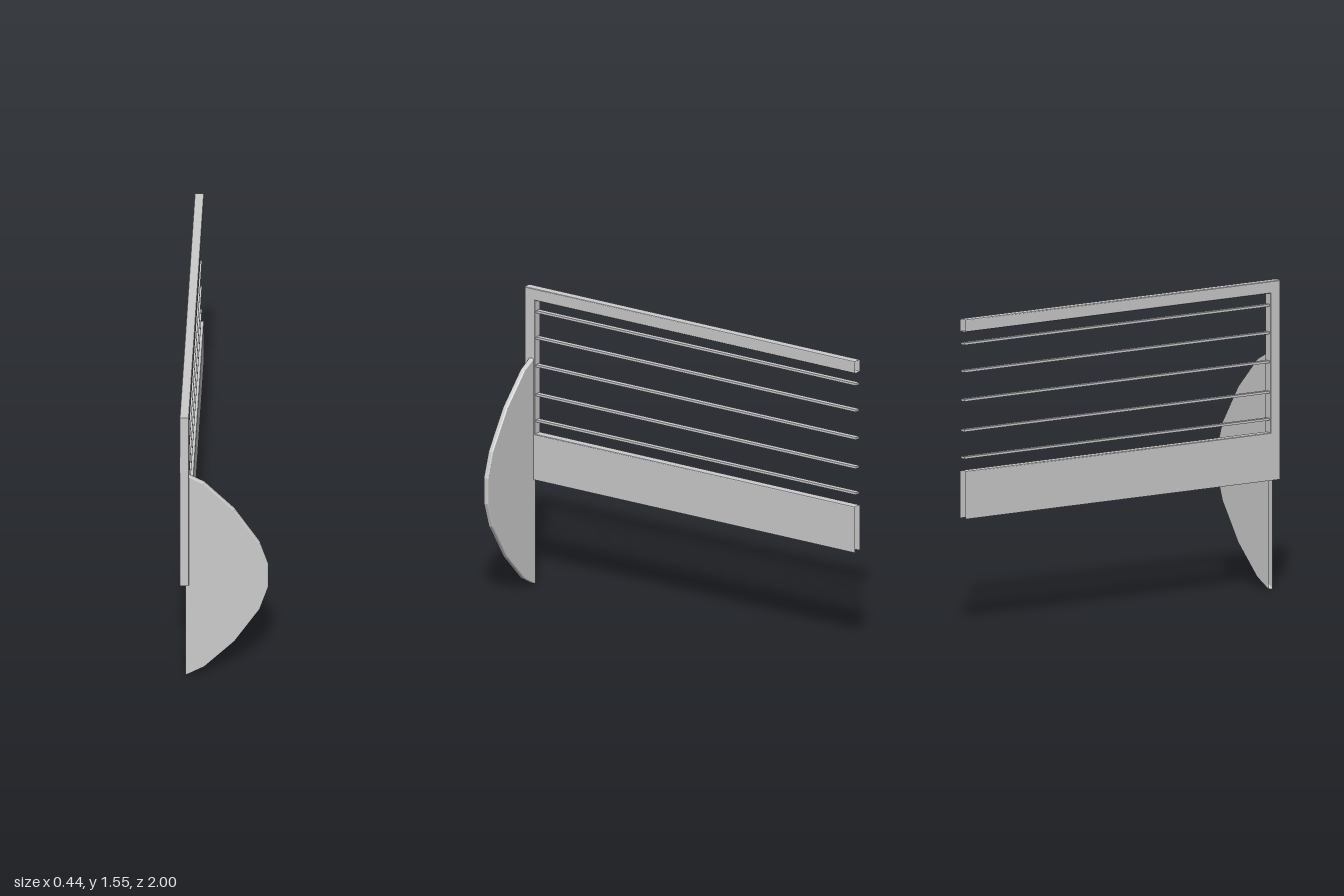
import * as THREE from 'three';

const grey = new THREE.MeshStandardMaterial({
  color: 0xcccccc, flatShading: true, side: THREE.DoubleSide,
});

// Moves an open polyline to its left by d, with mitred corners.
function inset(path, d) {
  const normal = (a, b) => new THREE.Vector2(a.y - b.y, b.x - a.x).normalize();
  return path.map((p, i) => {
    const n1 = normal(path[Math.max(i - 1, 0)], path[Math.max(i, 1)]);
    const last = path.length - 1;
    const n2 = normal(path[Math.min(i, last - 1)], path[Math.min(i + 1, last)]);
    return n1.add(n2).multiplyScalar(d / (1 + n1.dot(n2) || 1)).add(p);
  });
}

// Hollow sheet-metal shell: two flat faces joined by rounded rims along the
// given paths (counter-clockwise); gaps between the paths stay open.
// section lists [w, inset] from the back face to the front face.
function shell(name, paths, closing, section) {
  const group = new THREE.Group();
  group.name = name;
  const curves = paths.map((path) => path.map(([u, v]) => new THREE.Vector2(u, v)));

  for (const [w, d] of [section[0], section[section.length - 1]]) {
    const outline = curves.flatMap((c) => inset(c, d));
    closing.forEach(([u, v]) => outline.push(new THREE.Vector2(u, v)));
    const face = new THREE.Mesh(new THREE.ShapeGeometry(new THREE.Shape(outline)), grey);
    face.position.z = w;
    face.name = 'sideSheet';
    group.add(face);
  }

  for (const curve of curves) {
    const positions = [], index = [], n = curve.length;
    section.forEach(([w, d]) => inset(curve, d).forEach((p) => positions.push(p.x, p.y, w)));
    for (let r = 0; r < section.length - 1; r++) {
      for (let i = 0; i < n - 1; i++) {
        const a = r * n + i, b = a + 1, c = a + n, e = c + 1;
        index.push(a, b, e, a, e, c);
      }
    }
    const geometry = new THREE.BufferGeometry();
    geometry.setAttribute('position', new THREE.Float32BufferAttribute(positions, 3));
    geometry.setIndex(index);
    geometry.computeVertexNormals();
    const rim = new THREE.Mesh(geometry, grey);
    rim.name = 'rim';
    group.add(rim);
  }
  return group;
}

// Cross-section of a shell rim with rounded corners of radius r.
function roundedSection(half, r, steps) {
  const side = [];
  for (let i = 0; i <= steps; i++) {
    const t = (i / steps) * Math.PI / 2;
    side.push([-half + r * (1 - Math.cos(t)), r * (1 - Math.sin(t))]);
  }
  return [...side, ...side.map(([w, d]) => [-w, d]).reverse()];
}

export function createModel() {
  const model = new THREE.Group();
  model.name = 'railingWithFin';
  const railX = -0.198;

  // Frame: front post, top rail and lower panel, open at the back and below
  const frame = shell('railingFrame', [
    [[1, 0.55], [1, 1.55], [-1, 1.55]],
    [[-1, 1.487], [0.937, 1.487], [0.937, 0.79], [-1, 0.79]],
  ], [[-1, 0.55]], roundedSection(0.023, 0.007, 2));
  frame.rotation.y = -Math.PI / 2;
  frame.position.x = railX;
  model.add(frame);

  // Thin horizontal bars
  for (const y of [0.856, 0.992, 1.144, 1.289, 1.427]) {
    const bar = new THREE.Mesh(new THREE.BoxGeometry(0.026, 0.012, 1.945), grey);
    bar.position.set(railX, y, -0.0275);
    bar.name = 'horizontalBar';
    model.add(bar);
  }

  // Curved fin standing out from the post
  const fin = shell('sideFin', [[
    [-0.19, 0], [-0.175, 0.007], [-0.1, 0.05], [0.05, 0.205], [0.175, 0.4], [0.217, 0.53],
    [0.217, 0.663], [0.175, 0.793], [0.05, 0.988], [-0.1, 1.143], [-0.175, 1.183], [-0.19, 1.188],
  ]], [], roundedSection(0.014, 0.008, 3));
  fin.position.z = 0.959;
  model.add(fin);

  return model;
}
